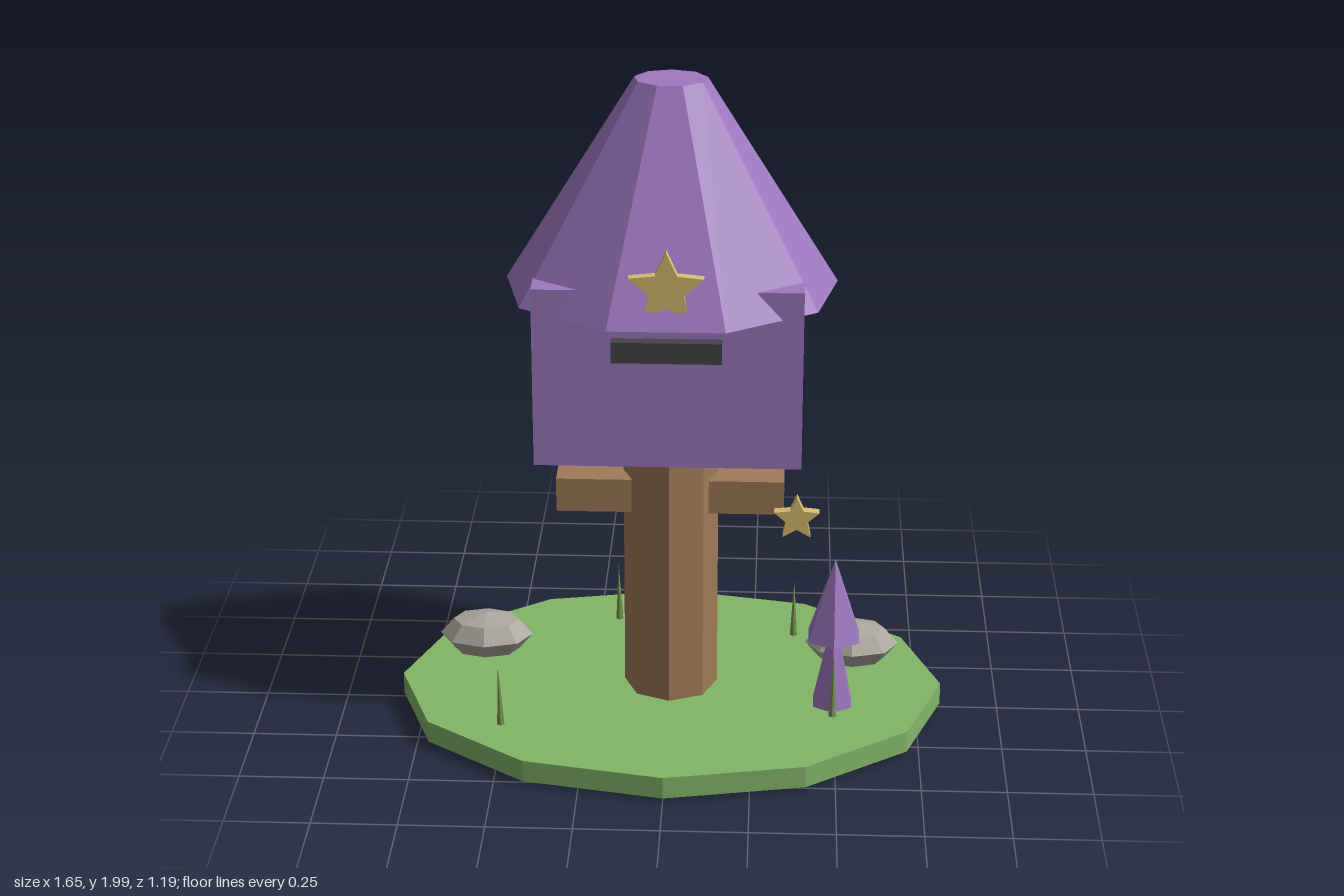
import * as THREE from 'three';

const paint = (color) => new THREE.MeshStandardMaterial({ color, flatShading: true });

export function createModel() {
  const model = new THREE.Group();
  const green = paint(0x82b568), purple = paint(0x9d78c0), wood = paint(0xa07a58);
  const gold = paint(0xd8bc70), dark = paint(0x444348), stone = paint(0xaaa59c), leaf = paint(0x7d9f52);

  const add = (name, geometry, material, x, y, z) => {
    const mesh = new THREE.Mesh(geometry, material);
    mesh.name = name;
    mesh.position.set(x, y, z);
    model.add(mesh);
    return mesh;
  };

  // Five-pointed star slab, centred on its own depth
  const star = (radius, depth) => {
    const points = [];
    for (let i = 0; i < 10; i++) {
      const a = Math.PI / 2 + (i * Math.PI) / 5;
      const r = i % 2 ? radius * 0.47 : radius;
      points.push(new THREE.Vector2(Math.cos(a) * r, Math.sin(a) * r));
    }
    return new THREE.ExtrudeGeometry(new THREE.Shape(points), { depth, bevelEnabled: false })
      .translate(0, 0, -depth / 2);
  };

  // Oval island
  add('ground', new THREE.CylinderGeometry(1, 1, 0.068, 12), green, 0, 0.053, 0).scale.set(0.825, 1, 0.595);

  // Trunk and side branches
  add('trunk', new THREE.CylinderGeometry(0.141, 0.141, 0.82, 8), wood, 0, 0.488, 0);
  for (const side of [-1, 1]) {
    add(side > 0 ? 'leftBranch' : 'rightBranch', new THREE.BoxGeometry(0.223, 0.105, 0.105), wood, side * 0.226, 0.737, 0.02);
  }

  // House body with a nine-sided oval roof
  add('house', new THREE.BoxGeometry(0.77, 0.54, 0.516), purple, 0, 1.187, 0);
  const roof = new THREE.CylinderGeometry(0.215, 1, 0.625, 9).rotateY(Math.PI);
  add('roof', roof, purple, 0, 1.6875, 0).scale.set(0.49, 1, 0.385);

  // Front decorations
  add('slot', new THREE.BoxGeometry(0.312, 0.062, 0.035), dark, 0, 1.3, 0.317);
  add('roofStar', star(0.111, 0.028), gold, 0, 1.49, 0.325);
  add('hangingStar', star(0.07, 0.03), gold, 0.375, 0.72, 0.165);

  // Small two-tier tree
  add('treeTop', new THREE.ConeGeometry(0.087, 0.255, 6), purple, 0.492, 0.4575, 0.162);
  add('treeBase', new THREE.CylinderGeometry(0.022, 0.066, 0.203, 6), purple, 0.492, 0.208, 0.162);

  // Rocks
  for (const [x, z] of [[-0.585, -0.18], [0.555, -0.165]]) {
    const rock = add('rock', new THREE.SphereGeometry(1, 8, 4), stone, x, 0.137, z);
    rock.scale.set(0.144, 0.072, 0.097);
  }

  // Grass blades leaning forward
  for (const [x, z] of [[-0.18, -0.38], [0.375, -0.29], [-0.495, 0.315], [0.492, 0.225]]) {
    add('grassBlade', new THREE.ConeGeometry(0.016, 0.3, 5), leaf, x, 0.157, z).rotation.x = 0.2;
  }
  return model;
}
